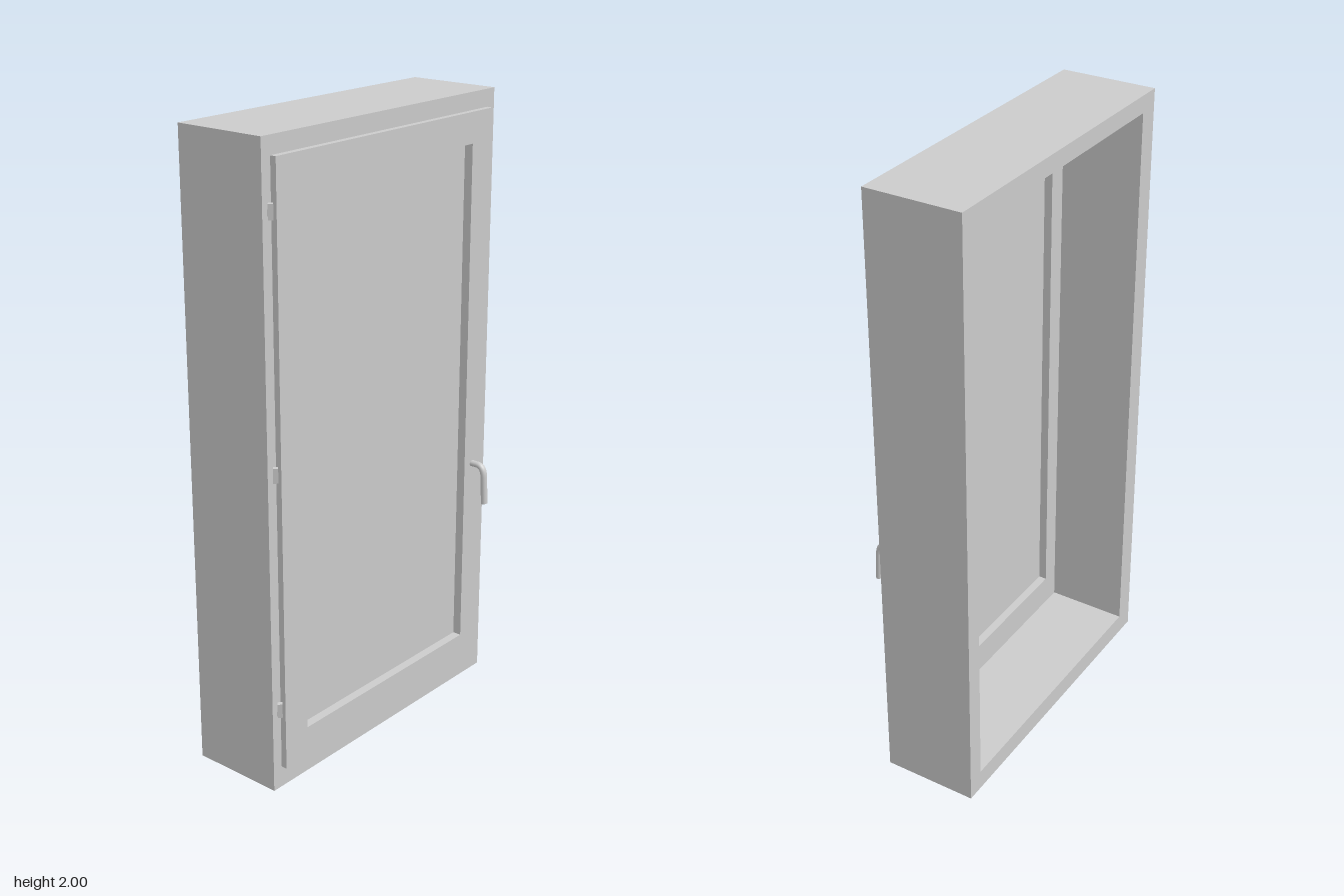
import * as THREE from 'three';

const material = new THREE.MeshStandardMaterial({ color: 0xcccccc });

function add(parent, name, geometry, x = 0, y = 0, z = 0) {
  const mesh = new THREE.Mesh(geometry, material);
  mesh.name = name;
  mesh.position.set(x, y, z);
  parent.add(mesh);
  return mesh;
}

function trace(path, [x0, y0, x1, y1]) {
  path.moveTo(x0, y0);
  path.lineTo(x1, y0);
  path.lineTo(x1, y1);
  path.lineTo(x0, y1);
  path.closePath();
  return path;
}

// Rectangular ring between two [x0, y0, x1, y1] rectangles, extruded from z0 to z1
function ring(outer, inner, z0, z1) {
  const shape = trace(new THREE.Shape(), outer);
  shape.holes.push(trace(new THREE.Path(), inner));
  return new THREE.ExtrudeGeometry(shape, { depth: z1 - z0, bevelEnabled: false }).translate(0, 0, z0);
}

export function createModel() {
  const model = new THREE.Group();
  model.name = 'window';

  // Deep outer frame, open at the back
  const opening = [-0.453, 0.068, 0.465, 1.945];
  add(model, 'outerFrame', ring([-0.522, 0, 0.522, 2], opening, -0.198, 0.112));

  // Sash: body inside the frame, with a lip overlapping the frame's front
  const sash = new THREE.Group();
  sash.name = 'sash';
  model.add(sash);
  const paneHole = [-0.39, 0.17, 0.39, 1.848];
  add(sash, 'sashBody', ring(opening, paneHole, 0.07, 0.112));
  add(sash, 'sashLip', ring([-0.487, 0.07, 0.487, 1.945], paneHole, 0.112, 0.132));
  add(sash, 'pane', new THREE.BoxGeometry(0.78, 1.678, 0.006), 0, 1.009, 0.1);

  // Four-sided hinge pins
  for (const y of [0.276, 1.037, 1.797]) {
    add(model, 'hinge', new THREE.CylinderGeometry(0.0105, 0.0105, 0.045, 4).toNonIndexed(), -0.499, y, 0.121)
      .geometry.computeVertexNormals();
  }

  // Bent handle with an oval section
  const handle = new THREE.Group();
  handle.name = 'handle';
  handle.position.x = 0.431;
  handle.scale.x = 1.28;
  sash.add(handle);
  const v = (y, z) => new THREE.Vector3(0, y, z);
  const path = new THREE.CurvePath();
  path.add(new THREE.LineCurve3(v(0.789, 0.128), v(0.789, 0.155)));
  path.add(new THREE.QuadraticBezierCurve3(v(0.789, 0.155), v(0.789, 0.178), v(0.755, 0.181)));
  path.add(new THREE.LineCurve3(v(0.755, 0.181), v(0.66, 0.186)));
  add(handle, 'handleGrip', new THREE.TubeGeometry(path, 32, 0.0098, 16));
  add(handle, 'handleEnd', new THREE.CircleGeometry(0.0098, 16).rotateX(Math.PI / 2), 0, 0.66, 0.186);

  return model;
}
